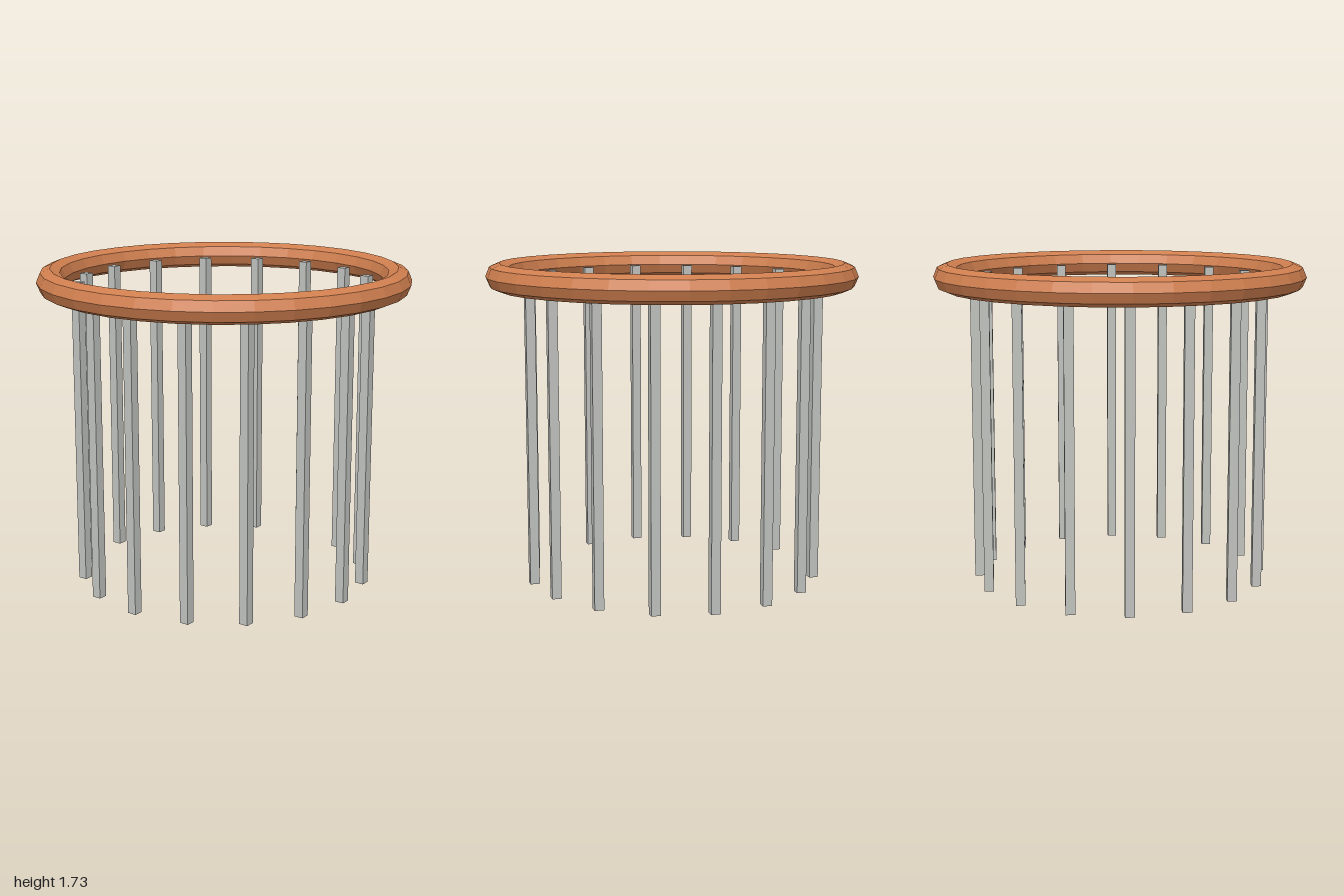
import * as THREE from 'three';

export function createModel() {
  const model = new THREE.Group();
  const copper = new THREE.MeshStandardMaterial({ name: 'copper', color: 0xd07f4f, flatShading: true });
  const steel = new THREE.MeshStandardMaterial({ name: 'paleGrey', color: 0xc0c2be, flatShading: true });

  // Octagonal-section ring lying flat at the top
  const tube = 0.073;
  const ringY = 1.657;
  const ring = new THREE.Mesh(new THREE.TorusGeometry(1 - tube, tube, 8, 32), copper);
  ring.name = 'topRing';
  ring.rotation.x = -Math.PI / 2;
  ring.position.y = ringY;
  model.add(ring);

  // Sixteen square bars, all aligned with the axes, just inside the ring
  const bars = new THREE.Group();
  bars.name = 'bars';
  const barGeometry = new THREE.BoxGeometry(0.05, ringY, 0.05);
  for (let i = 0; i < 16; i++) {
    const angle = (i / 16) * Math.PI * 2;
    const bar = new THREE.Mesh(barGeometry, steel);
    bar.name = `bar${i + 1}`;
    bar.position.set(0.78 * Math.cos(angle), ringY / 2, 0.78 * Math.sin(angle));
    bars.add(bar);
  }
  model.add(bars);

  return model;
}
